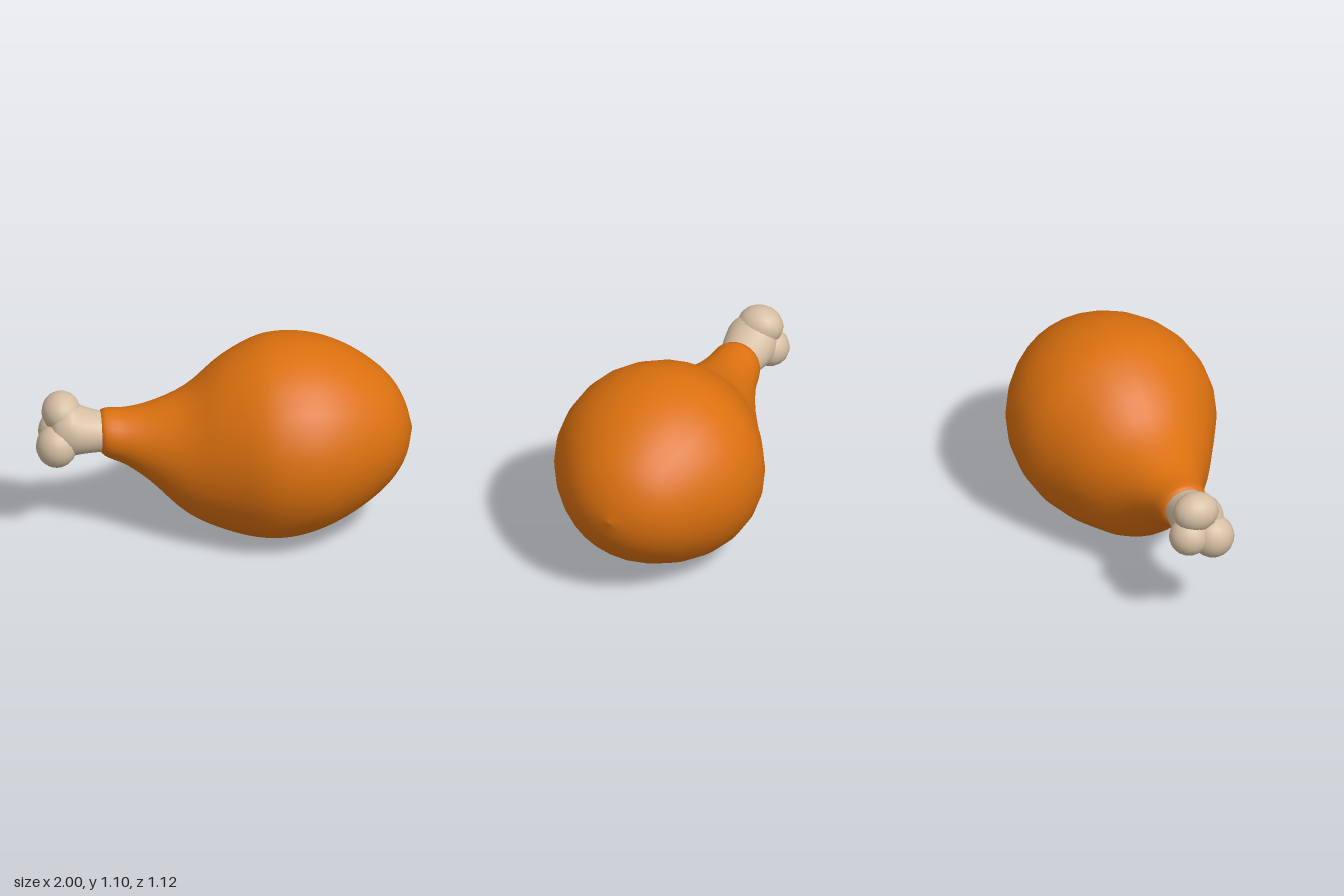
import * as THREE from 'three';

const SIDES = 28;

// Closed skin through elliptical sections [x, bottom y, top y, half depth], smooth normals
function skin(sections, steps) {
  const lows = new THREE.CatmullRomCurve3(sections.map(s => new THREE.Vector3(s[0], s[1], s[3])), false, 'centripetal');
  const highs = new THREE.CatmullRomCurve3(sections.map(s => new THREE.Vector3(s[0], s[2], s[3])), false, 'centripetal');
  const pos = [], index = [];
  for (let i = 0; i <= steps; i++) {
    const a = lows.getPoint(i / steps), b = highs.getPoint(i / steps);
    for (let j = 0; j < SIDES; j++) {
      const t = (j / SIDES) * Math.PI * 2;
      const x = (a.x + b.x) / 2 + (b.x - a.x) / 2 * Math.cos(t);
      pos.push(x, (a.y + b.y) / 2 + (b.y - a.y) / 2 * Math.cos(t), (a.z + b.z) / 2 * Math.sin(t));
      if (i < steps) {
        const p = i * SIDES + j, q = i * SIDES + (j + 1) % SIDES;
        index.push(p, q, p + SIDES, q, q + SIDES, p + SIDES);
      }
    }
  }
  const geo = new THREE.BufferGeometry();
  geo.setAttribute('position', new THREE.Float32BufferAttribute(pos, 3));
  geo.setIndex(index);
  geo.computeVertexNormals();
  return geo;
}

export function createModel() {
  const group = new THREE.Group();
  const roast = new THREE.MeshStandardMaterial({ color: 0xdb700f });
  roast.name = 'roasted skin';
  const ivory = new THREE.MeshStandardMaterial({ color: 0xd5bea3 });
  ivory.name = 'bone';

  const add = (name, geo, mat, parent = group) => {
    const mesh = new THREE.Mesh(geo, mat);
    mesh.name = name;
    parent.add(mesh);
    return mesh;
  };

  // Plump meat, narrowing to the open cuff around the bone
  add('meat', skin([
    [-0.62, 0.6, 0.605, 0.003], [-0.65, 0.49, 0.72, 0.12], [-0.52, 0.42, 0.725, 0.16],
    [-0.4, 0.33, 0.745, 0.21], [-0.2, 0.14, 0.825, 0.325], [0, 0.045, 0.99, 0.44],
    [0.2, 0.005, 1.085, 0.54], [0.35, 0.01, 1.1, 0.56], [0.5, 0.05, 1.08, 0.54],
    [0.65, 0.12, 1.025, 0.475], [0.8, 0.22, 0.93, 0.37], [0.9, 0.32, 0.83, 0.27],
    [0.965, 0.43, 0.71, 0.15], [1, 0.57, 0.572, 0.002],
  ], 52), roast);

  // Bone: flared shaft with rounded knuckles at its end
  const bone = new THREE.Group();
  bone.name = 'bone';
  group.add(bone);
  add('boneShaft', skin([
    [-0.93, 0.61, 0.612, 0.002], [-0.9, 0.51, 0.74, 0.11], [-0.82, 0.48, 0.78, 0.14],
    [-0.75, 0.49, 0.745, 0.135], [-0.68, 0.495, 0.72, 0.12], [-0.6, 0.5, 0.7, 0.11],
  ], 16), ivory, bone);

  const knuckles = [
    // x, y, z, rx, ry, rz
    ['upperKnuckle', -0.86, 0.715, -0.03, 0.105, 0.107, 0.125],
    ['frontKnuckle', -0.89, 0.555, 0.055, 0.11, 0.118, 0.115],
    ['backKnuckle', -0.875, 0.58, -0.075, 0.105, 0.105, 0.108],
  ];
  for (const [name, x, y, z, rx, ry, rz] of knuckles) {
    const ball = add(name, new THREE.SphereGeometry(1, 16, 12), ivory, bone);
    ball.position.set(x, y, z);
    ball.scale.set(rx, ry, rz);
  }
  return group;
}
